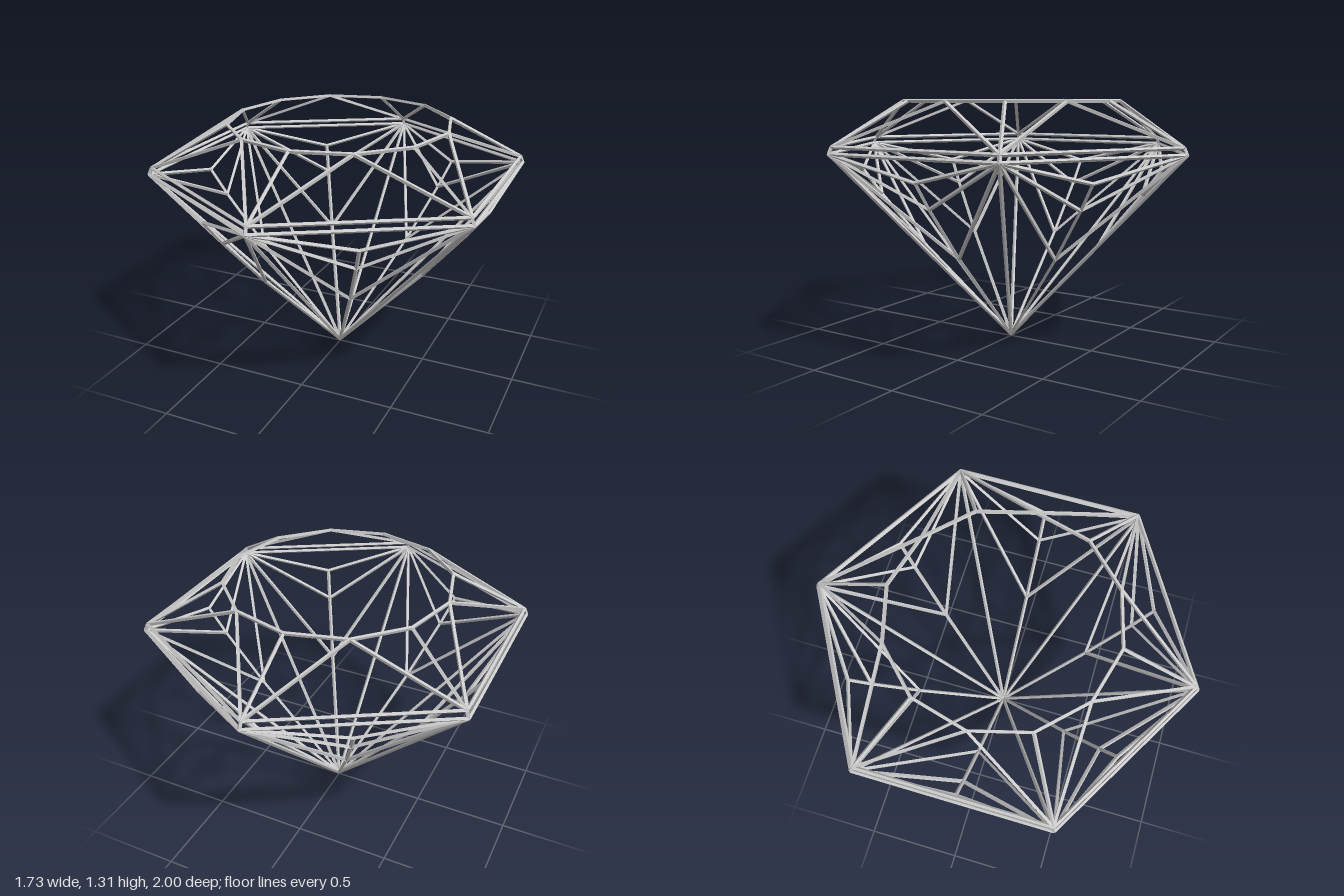
import * as THREE from 'three';

const R = 0.01; // half thickness of a strut
const CENTRE = new THREE.Vector3(0, 1, 0);
const material = new THREE.MeshStandardMaterial({ color: 0xcccccc, flatShading: true });

// Points evenly spread on a horizontal ring, starting from +z
function ring(count, radius, y, offset = 0) {
  return Array.from({ length: count }, (_, i) => {
    const a = ((i + offset) / count) * Math.PI * 2;
    return new THREE.Vector3(radius * Math.sin(a), y, radius * Math.cos(a));
  });
}

// Diamond-section bar between two points, one corner turned outward
function strut(a, b) {
  const along = b.clone().sub(a);
  const length = along.length();
  along.normalize();
  const mid = a.clone().add(b).multiplyScalar(0.5);
  const out = mid.clone().sub(CENTRE);
  out.addScaledVector(along, -out.dot(along)).normalize();
  const side = along.clone().cross(out);
  const geometry = new THREE.CylinderGeometry(R, R, length, 4);
  geometry.applyMatrix4(new THREE.Matrix4().makeBasis(side, along, out).setPosition(mid));
  return new THREE.Mesh(geometry, material);
}

export function createModel() {
  const model = new THREE.Group();
  model.name = 'wireframeGem';

  const addPart = (name, edges) => {
    const group = new THREE.Group();
    group.name = name;
    edges.forEach(([a, b]) => {
      const bar = strut(a, b);
      bar.name = name + 'Strut';
      group.add(bar);
    });
    model.add(group);
  };

  // Corner rings of the cut
  const table = ring(12, 0.58, 1.3);
  const girdleTop = ring(6, 0.975, 1.08);
  const girdleLow = ring(6, 0.99, 1.046);
  // Facet points on the middle line of each lower side
  const upper = ring(6, 0.81, 0.93, 0.5);
  const middle = ring(6, 0.71, 0.795, 0.5);
  const lower = ring(6, 0.48, 0.52, 0.5);
  const tip = new THREE.Vector3(0, R, 0);

  const loop = (pts) => pts.map((p, i) => [p, pts[(i + 1) % pts.length]]);

  // Flat top rim
  addPart('table', loop(table));

  // Three bars from each girdle corner up to the table
  addPart('crown', girdleTop.flatMap((p, i) =>
    [-1, 0, 1].map((d) => [p, table[(2 * i + d + 12) % 12]])));

  // Double hexagonal belt with short corner posts
  addPart('girdle', [
    ...loop(girdleTop),
    ...loop(girdleLow),
    ...girdleTop.map((p, i) => [p, girdleLow[i]]),
  ]);

  // Lower facets: fans from the corners, centre ridges and main ribs
  addPart('pavilion', girdleLow.flatMap((p, i) => {
    const next = girdleLow[(i + 1) % 6];
    const ridge = [upper[i], middle[i], lower[i]];
    return [
      ...ridge.flatMap((q) => [[p, q], [next, q]]),
      [upper[i], middle[i]],
      [middle[i], lower[i]],
      [lower[i], tip],
      [p, tip],
    ];
  }));

  // Small knots closing the joints
  const joints = new THREE.Group();
  joints.name = 'joints';
  const knot = new THREE.OctahedronGeometry(R);
  [...table, ...girdleTop, ...girdleLow, ...upper, ...middle, ...lower, tip].forEach((p) => {
    const mesh = new THREE.Mesh(knot, material);
    mesh.name = 'joint';
    mesh.position.copy(p);
    joints.add(mesh);
  });
  model.add(joints);

  return model;
}
